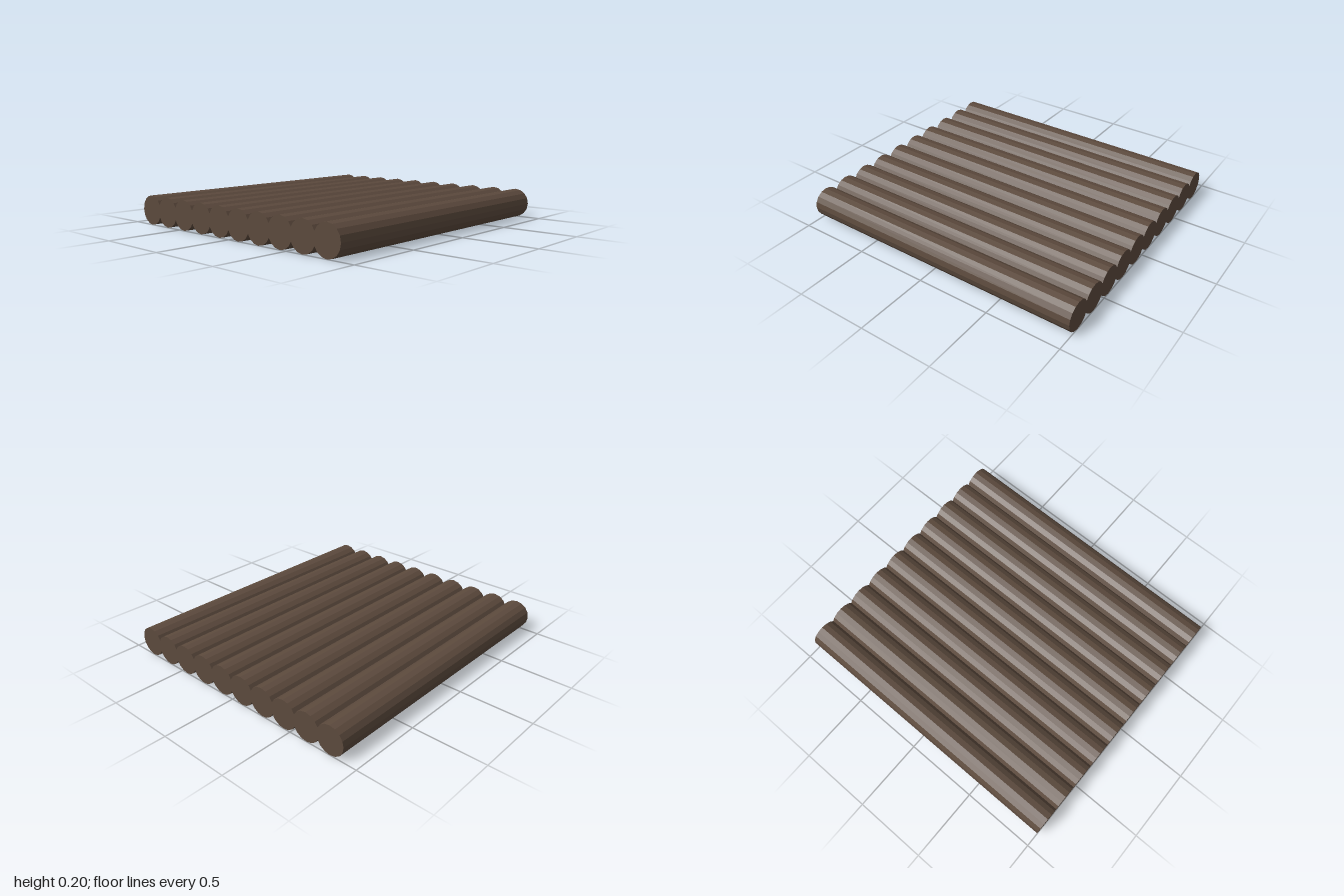
import * as THREE from 'three';

const LOG_COUNT = 10;
const RADIUS = 0.1;
const LENGTH = 2;
const SPACING = 0.18; // slightly under the diameter, so neighbours overlap

export function createModel() {
  const model = new THREE.Group();
  model.name = 'logRaft';

  const wood = new THREE.MeshStandardMaterial({ color: 0x5c4a3d, flatShading: true });
  wood.name = 'darkBrownWood';

  // One log lying along x, shared by the whole row
  const logGeometry = new THREE.CylinderGeometry(RADIUS, RADIUS, LENGTH, 16);
  logGeometry.rotateZ(Math.PI / 2);

  // Row of logs side by side from back to front
  for (let i = 0; i < LOG_COUNT; i++) {
    const log = new THREE.Mesh(logGeometry, wood);
    log.name = `log${i + 1}`;
    log.position.set(0, RADIUS, (i - (LOG_COUNT - 1) / 2) * SPACING);
    model.add(log);
  }

  return model;
}
